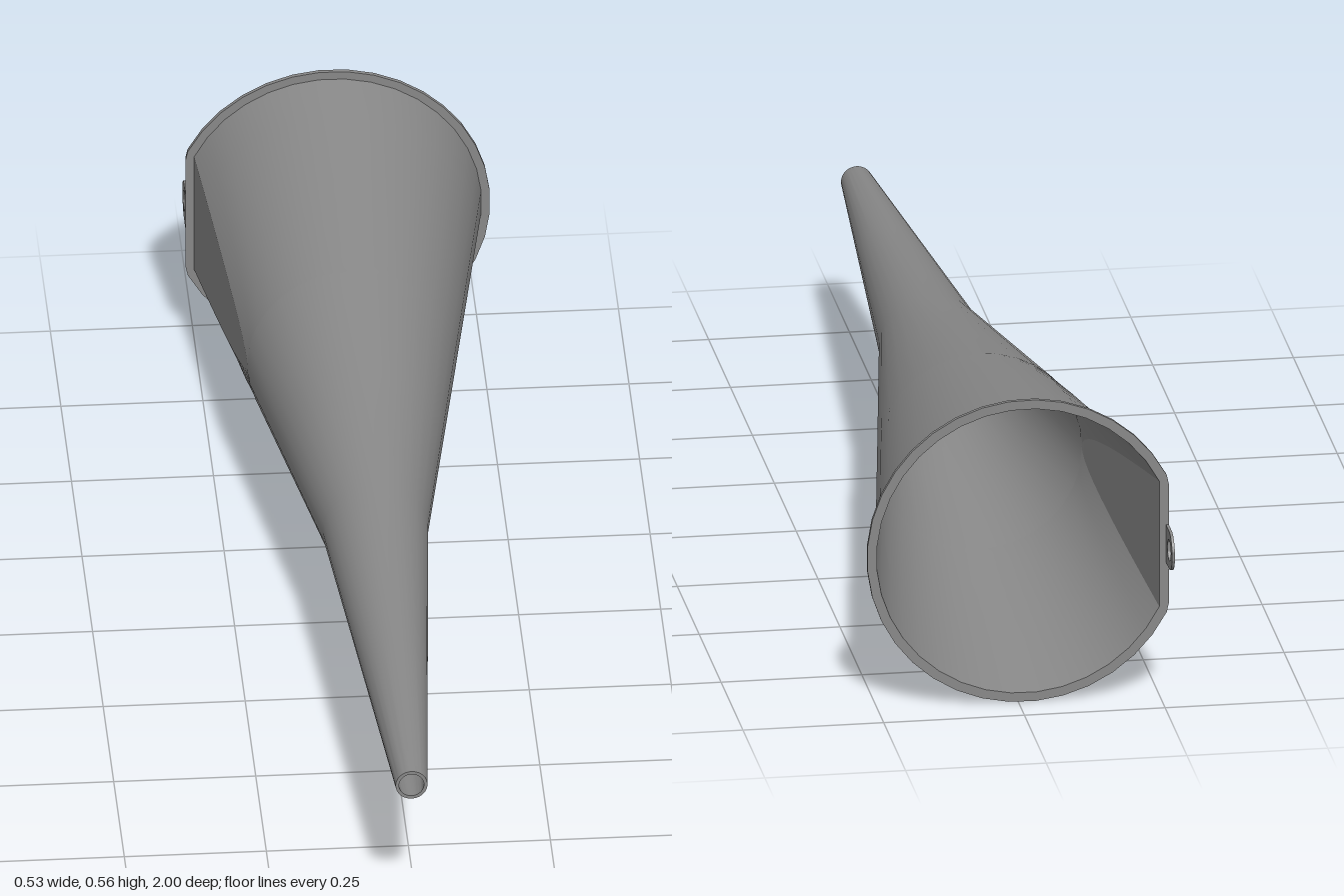
import * as THREE from 'three';
import { toCreasedNormals } from 'three/addons/utils/BufferGeometryUtils.js';

const CX = -0.013, CY = 0.281; // funnel axis
const ARC = 31, FLAT = 4;
const BACK = -0.93, FLANGE = -0.922, WAIST = 0.15, FLAT_START = -0.412;
const { mapLinear, lerp } = THREE.MathUtils;

// Outer radius, distance from axis to the tilted flat side, and wall thickness
const radiusAt = z => z > WAIST
  ? mapLinear(z, 1, WAIST, 0.028, 0.093)
  : mapLinear(z, WAIST, -0.925, 0.093, 0.267);
const flatAt = z => mapLinear(z, FLAT_START, -0.925, 0.184, 0.24);
const wallAt = z => mapLinear(z, 1, BACK, 0.006, 0.003);

// Circle of radius r cut off on the -x side at distance d, corners chamfered by an angle;
// split into its round part and its flat part
function section(z, r, d, chamfer = 0) {
  const a = Math.acos(Math.min(1, d / r));
  const at = (t, rad) => [CX - rad * Math.cos(t), CY + rad * Math.sin(t), z];
  const flat = [], round = [];
  for (let j = 0; j <= FLAT; j++) {
    const t = lerp(-1, 1, j / FLAT) * (a - chamfer);
    flat.push(at(t, Math.min(r, d / Math.cos(t))));
  }
  const start = a + chamfer;
  for (let j = 0; j <= ARC; j++) round.push(at(lerp(start, 2 * Math.PI - start, j / ARC), r));
  return { flat, round: [flat[FLAT], ...round, flat[0]] };
}

// Skin a closed loop of open strips
function loft(strips) {
  const index = [], M = strips.length, N = strips[0].length;
  for (let i = 0; i < M; i++) {
    for (let j = 0; j < N - 1; j++) {
      const a = i * N + j, c = ((i + 1) % M) * N + j;
      index.push(a, a + 1, c, a + 1, c + 1, c);
    }
  }
  const g = new THREE.BufferGeometry();
  g.setAttribute('position', new THREE.Float32BufferAttribute(strips.flat(2), 3));
  g.setIndex(index);
  return toCreasedNormals(g, 0.35);
}

export function createModel() {
  const group = new THREE.Group();
  group.name = 'funnel';
  const material = new THREE.MeshStandardMaterial({ color: 0x888888, side: THREE.DoubleSide });
  const add = (name, geometry) => {
    const mesh = new THREE.Mesh(geometry, material);
    mesh.name = name;
    group.add(mesh);
    return mesh;
  };

  // Stations from the spout tip to the wide mouth, denser where the flat begins
  const stations = [1, 0.6, WAIST, -0.15];
  for (let k = 0; k <= 10; k++) stations.push(lerp(FLAT_START, FLANGE, (k / 10) ** 2));

  // Outer wall, flange, then inner wall back to the tip
  const outer = z => section(z, radiusAt(z), flatAt(z));
  const inner = z => section(z, radiusAt(z) - wallAt(z), flatAt(z) - wallAt(z));
  const flange = z => section(z, 0.2815, 0.2545, 0.03);
  const sections = [
    ...stations.map(outer),
    flange(FLANGE),
    flange(BACK),
    inner(BACK),
    ...stations.slice().reverse().map(inner),
  ];
  add('roundWall', loft(sections.map(s => s.round)));
  add('flatWall', loft(sections.map(s => s.flat)));

  // Hanging tab with a round hole, standing off the flat edge of the flange
  const R = 0.035, len = 0.04;
  const shape = new THREE.Shape();
  shape.moveTo(-len, -R);
  shape.lineTo(0, -R);
  shape.absarc(0, 0, R, -Math.PI / 2, Math.PI / 2, false);
  shape.lineTo(-len, R);
  shape.closePath();
  shape.holes.push(new THREE.Path().absarc(0, 0, 0.019, 0, Math.PI * 2, true));
  const tabGeometry = new THREE.ExtrudeGeometry(shape, { depth: 0.005, bevelEnabled: false, curveSegments: 16 });
  tabGeometry.rotateY(Math.PI / 2); // shape x becomes -z, depth becomes +x
  add('hangingTab', toCreasedNormals(tabGeometry, 0.6)).position.set(-0.2675, CY, -0.965);

  return group;
}
